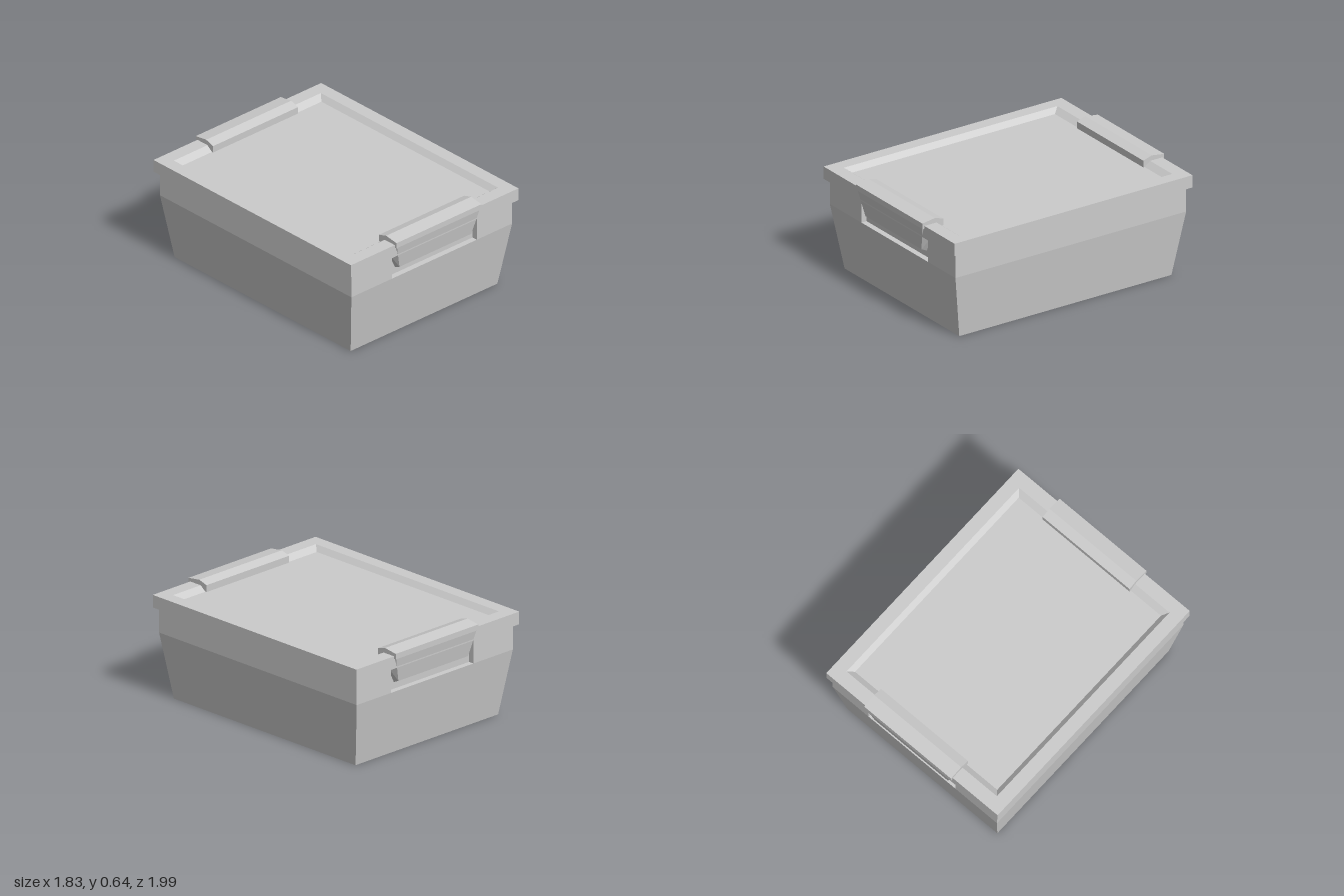
import * as THREE from 'three';
import { ConvexGeometry } from 'three/addons/geometries/ConvexGeometry.js';

const material = new THREE.MeshStandardMaterial({ color: 0xcccccc, flatShading: true });

function addMesh(parent, name, geometry) {
  const mesh = new THREE.Mesh(geometry, material);
  mesh.name = name;
  parent.add(mesh);
  return mesh;
}

// Closed loft through rectangles given as [halfWidth, halfDepth, y], first to last.
function rectLoft(rings) {
  const corners = rings.map(([w, d, y]) => [[-w, y, d], [w, y, d], [w, y, -d], [-w, y, -d]]);
  const positions = [];
  const quad = (a, b, c, d) => positions.push(...a, ...b, ...c, ...a, ...c, ...d);
  for (let i = 0; i < corners.length - 1; i++) {
    const lo = corners[i], hi = corners[i + 1];
    for (let k = 0; k < 4; k++) {
      const n = (k + 1) % 4;
      quad(lo[k], lo[n], hi[n], hi[k]);
    }
  }
  const first = corners[0], last = corners[corners.length - 1];
  quad(first[3], first[2], first[1], first[0]);
  quad(last[0], last[1], last[2], last[3]);
  const geometry = new THREE.BufferGeometry();
  geometry.setAttribute('position', new THREE.Float32BufferAttribute(positions, 3));
  geometry.computeVertexNormals();
  return geometry;
}

// Convex solid from [halfWidth, y, z] points mirrored left and right.
function mirroredHull(points) {
  return new ConvexGeometry(points.flatMap(([w, y, z]) => [
    new THREE.Vector3(w, y, z), new THREE.Vector3(-w, y, z),
  ]));
}

const LATCH_X = 0.02;
const LATCH_HALF = 0.322;

// Straight upper wall, with a shallow latch notch in each short end.
function upperWall() {
  const w = 0.609, d = 0.782, inner = d - 0.035;
  const l = LATCH_X - LATCH_HALF, r = LATCH_X + LATCH_HALF;
  const outline = [
    [-w, -d], [l, -d], [l, -inner], [r, -inner], [r, -d], [w, -d],
    [w, d], [r, d], [r, inner], [l, inner], [l, d], [-w, d],
  ].map(([x, y]) => new THREE.Vector2(x, y));
  const geometry = new THREE.ExtrudeGeometry(new THREE.Shape(outline), { depth: 0.15, bevelEnabled: false });
  return geometry.rotateX(-Math.PI / 2).translate(0, 0.39, 0);
}

function createLatch(name) {
  const latch = new THREE.Group();
  latch.name = name;
  const w = LATCH_HALF;
  // Ridged plate hooked over the lid rim into the recess
  addMesh(latch, 'latchTop', mirroredHull([
    [w, 0.587, 0.678], [w, 0.628, 0.678], [w, 0.645, 0.735],
    [w, 0.633, 0.82], [w, 0.6, 0.82],
  ]));
  // Tapered grip hanging over the notch
  addMesh(latch, 'latchGrip', mirroredHull([
    [w, 0.633, 0.82], [w, 0.633, 0.75], [w, 0.54, 0.752],
    [0.275, 0.435, 0.757], [0.272, 0.45, 0.79],
  ]));
  return latch;
}

export function createModel() {
  const model = new THREE.Group();
  model.name = 'storageBox';

  // Tapered tub
  addMesh(model, 'lowerBody', rectLoft([[0.556, 0.719, 0], [0.609, 0.782, 0.39]]));
  addMesh(model, 'upperBody', upperWall());

  // Lid with a sunken, bevelled panel
  addMesh(model, 'lid', rectLoft([
    [0.635, 0.806, 0.54], [0.635, 0.806, 0.615],
    [0.557, 0.724, 0.615], [0.527, 0.687, 0.587],
  ]));

  // One latch on each short end
  for (const [name, turn] of [['frontLatch', 0], ['backLatch', Math.PI]]) {
    const latch = createLatch(name);
    latch.position.x = LATCH_X;
    latch.rotation.y = turn;
    model.add(latch);
  }

  // The whole box sits turned on the floor
  model.rotation.y = 0.43;
  const group = new THREE.Group();
  group.add(model);
  return group;
}
